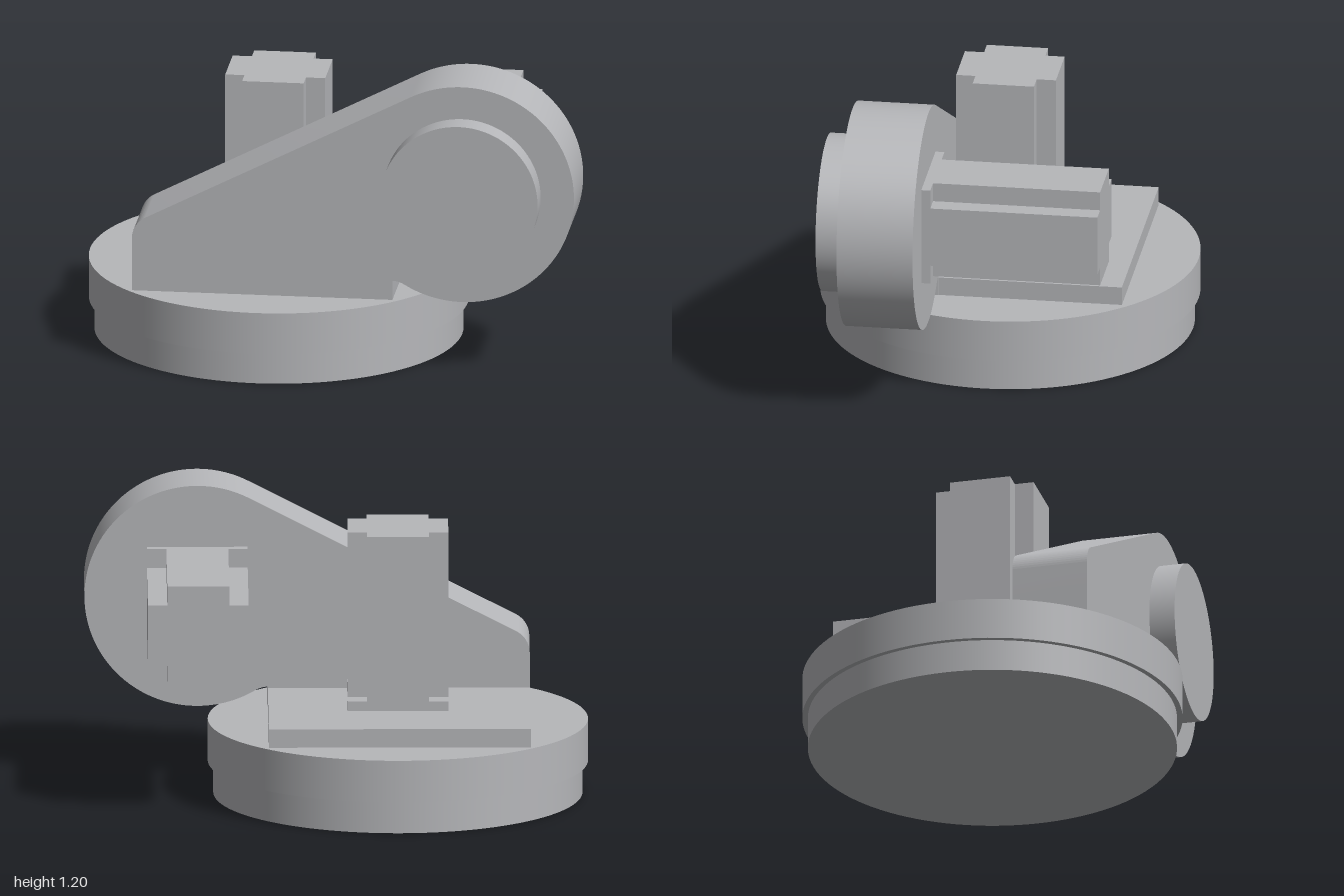
import * as THREE from 'three';
import { toCreasedNormals } from 'three/addons/utils/BufferGeometryUtils.js';

export function createModel() {
  const model = new THREE.Group();
  const grey = new THREE.MeshStandardMaterial({ color: 0xb6b7ba });
  grey.name = 'grey';

  function add(parent, name, geometry, x, y, z) {
    const mesh = new THREE.Mesh(geometry, grey);
    mesh.name = name;
    mesh.position.set(x, y, z);
    parent.add(mesh);
    return mesh;
  }

  // Stepped round base and the mounting plate on it
  add(model, 'baseLower', new THREE.CylinderGeometry(0.733, 0.733, 0.13, 112), -0.245, 0.065, 0);
  add(model, 'baseUpper', new THREE.CylinderGeometry(0.755, 0.755, 0.17, 112), -0.245, 0.215, 0);
  add(model, 'mountingPlate', new THREE.BoxGeometry(1.04, 0.075, 0.74), -0.25, 0.3375, -0.15);

  // Tapered arm: straight back, sloping top, round end
  const cx = 0.55, cy = 0.75, r = 0.448;
  const slope = THREE.MathUtils.degToRad(117.2);
  const under = THREE.MathUtils.degToRad(-119.5);
  const arm = new THREE.Shape();
  arm.moveTo(0.272, 0.3);
  arm.lineTo(-0.77, 0.3);
  arm.lineTo(-0.77, 0.516);
  arm.absarc(-0.67, 0.516, 0.1, Math.PI, slope, true);
  arm.absarc(cx, cy, r, slope, under, true);
  arm.quadraticCurveTo(0.298, 0.38, 0.272, 0.38);
  arm.closePath();
  const armGeometry = new THREE.ExtrudeGeometry(arm, { depth: 0.305, bevelEnabled: false, curveSegments: 64 });
  add(model, 'arm', toCreasedNormals(armGeometry, 0.5), 0, 0, 0.216);

  // Round cap on the front of the arm
  const cap = add(model, 'cap', new THREE.CylinderGeometry(0.315, 0.315, 0.105, 96), cx, cy, 0.5715);
  cap.rotation.x = Math.PI / 2;

  // Square post with notched corners and a full square foot, rising along +z
  function makePost(name, length, foot) {
    const post = new THREE.Group();
    post.name = name;
    const a = 0.2, b = 0.123;
    const cross = new THREE.Shape();
    for (let i = 0; i < 4; i++) {
      const c = Math.round(Math.cos(i * Math.PI / 2)), s = Math.round(Math.sin(i * Math.PI / 2));
      [[a, -b], [a, b], [b, b]].forEach(([x, y], k) => {
        const px = x * c - y * s, py = x * s + y * c;
        if (i === 0 && k === 0) cross.moveTo(px, py);
        else cross.lineTo(px, py);
      });
    }
    cross.closePath();
    add(post, 'shaft', new THREE.ExtrudeGeometry(cross, { depth: length - foot, bevelEnabled: false }), 0, 0, foot);
    add(post, 'foot', new THREE.BoxGeometry(2 * a, 2 * a, foot), 0, 0, foot / 2);
    model.add(post);
    return post;
  }

  const upright = makePost('uprightPost', 0.71, 0.04);
  upright.position.set(-0.245, 0.375, 0);
  upright.rotation.x = -Math.PI / 2;

  const rear = makePost('rearPost', 0.706, 0.036);
  rear.position.set(cx, cy, 0.216);
  rear.rotation.y = Math.PI;

  return model;
}
